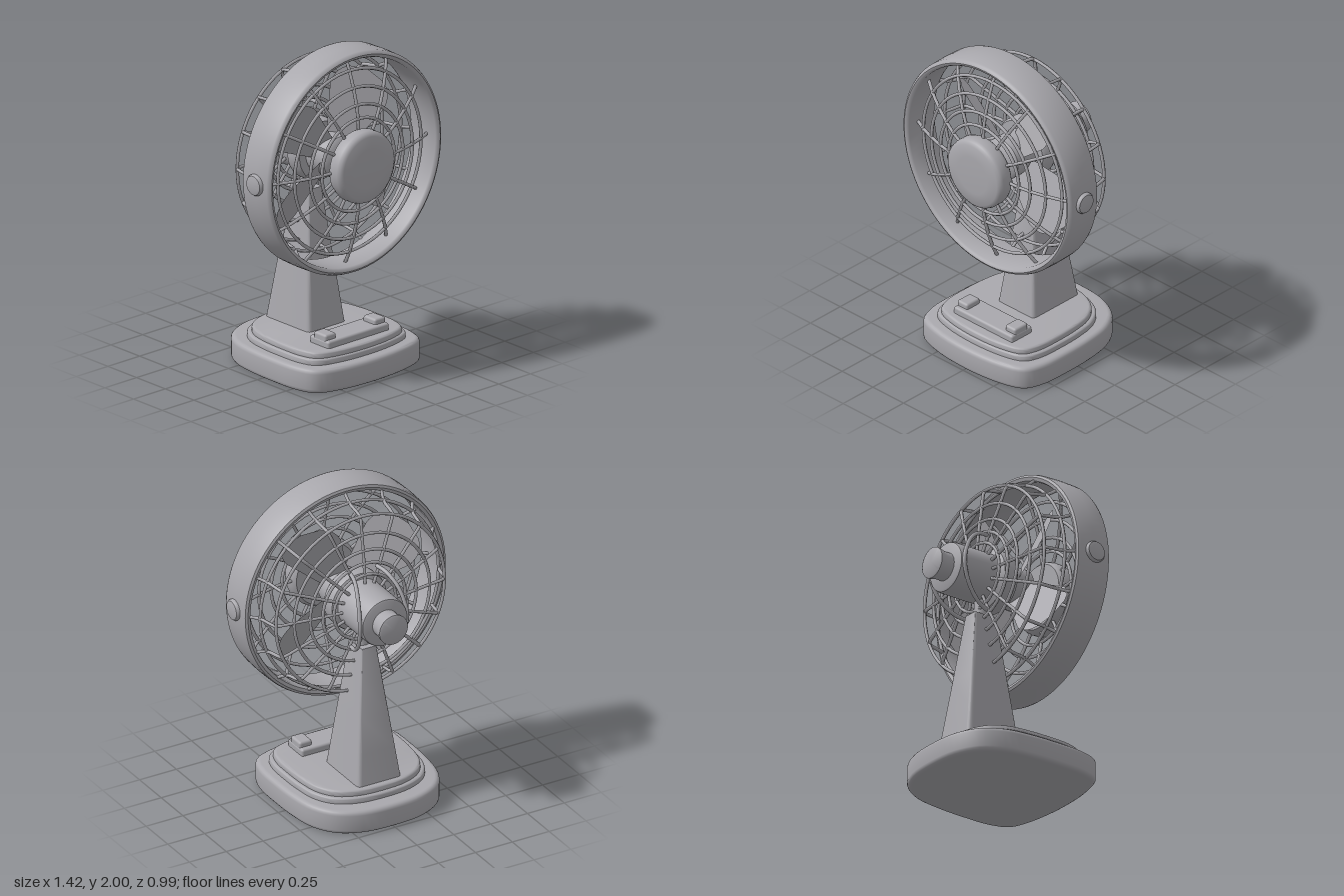
import * as THREE from 'three';
import { toCreasedNormals } from 'three/addons/utils/BufferGeometryUtils.js';
import { RoundedBoxGeometry } from 'three/addons/geometries/RoundedBoxGeometry.js';

const AXIS_Y = 1.312; // height of the fan's axis
const V3 = (x, y, z) => new THREE.Vector3(x, y, z);

export function createModel() {
  const grey = new THREE.MeshStandardMaterial({ color: 0xa9a8ad });
  const thinGrey = new THREE.MeshStandardMaterial({ color: 0xa9a8ad, side: THREE.DoubleSide });
  const model = new THREE.Group();
  model.name = 'deskFan';

  function add(parent, name, geometry, material = grey) {
    const mesh = new THREE.Mesh(geometry, material);
    mesh.name = name;
    parent.add(mesh);
    return mesh;
  }

  // Solid of revolution about z, from [radius, z] pairs running back to front
  function turned(profile, segments = 64) {
    const g = new THREE.LatheGeometry(profile.map(([r, z]) => new THREE.Vector2(r, z)), segments);
    return toCreasedNormals(g.rotateX(Math.PI / 2), 0.7);
  }

  // Upright slab with a soft edge, from an outline in x and -z
  function slab(points, y0, y1, bevel) {
    const g = new THREE.ExtrudeGeometry(new THREE.Shape(points), {
      depth: y1 - y0 - 2 * bevel, bevelEnabled: true, bevelSize: bevel,
      bevelThickness: bevel, bevelOffset: -bevel, bevelSegments: 4,
    });
    g.translate(0, 0, bevel).rotateX(-Math.PI / 2).translate(0, y0, 0);
    return toCreasedNormals(g, 0.7);
  }

  // ---- Base: two stacked tiers, rounder at the back
  const half = [[0.2, -0.475], [0.345, -0.4], [0.43, -0.27], [0.462, -0.1], [0.47, 0.1],
    [0.46, 0.29], [0.41, 0.41], [0.27, 0.467]];
  const outline = [[0, -0.495], ...half, [0, 0.493], ...half.map(([x, z]) => [-x, z]).reverse()];
  const baseCurve = new THREE.CatmullRomCurve3(outline.map(([x, z]) => V3(x, -z, 0)), true);
  const tier = (sx, sz, dz) => baseCurve.getPoints(72).slice(0, -1)
    .map((p) => new THREE.Vector2(p.x * sx, p.y * sz - dz));
  const base = new THREE.Group();
  base.name = 'base';
  model.add(base);
  add(base, 'baseFoot', slab(tier(1, 1, 0), 0.0, 0.15, 0.028));
  add(base, 'baseStep', slab(tier(0.86, 0.82, 0.015), 0.13, 0.185, 0.015));
  add(base, 'baseTop', slab(tier(0.81, 0.78, 0.02), 0.16, 0.22, 0.018));

  // ---- Control panel with a raised switch at each end
  add(base, 'controlPanel', new RoundedBoxGeometry(0.48, 0.06, 0.17, 3, 0.015))
    .position.set(0, 0.232, 0.25);
  for (const side of [-1, 1]) {
    add(base, side > 0 ? 'leftSwitch' : 'rightSwitch', new RoundedBoxGeometry(0.085, 0.06, 0.11, 3, 0.015))
      .position.set(side * 0.195, 0.265, 0.252);
  }

  // ---- Stand: rounded rectangle tapering upwards
  const c = 0.82;
  const section = new THREE.Shape();
  section.moveTo(-c, -1).lineTo(c, -1).quadraticCurveTo(1, -1, 1, -c).lineTo(1, c)
    .quadraticCurveTo(1, 1, c, 1).lineTo(-c, 1).quadraticCurveTo(-1, 1, -1, c)
    .lineTo(-1, -c).quadraticCurveTo(-1, -1, -c, -1);
  const stand = new THREE.ExtrudeGeometry(section, { depth: 1, steps: 4, bevelEnabled: false, curveSegments: 5 });
  const sp = stand.attributes.position;
  for (let i = 0; i < sp.count; i++) {
    const t = sp.getZ(i);
    sp.setXYZ(i,
      sp.getX(i) * THREE.MathUtils.lerp(0.15, 0.05, t),
      THREE.MathUtils.lerp(0.2, 1.06, t),
      -sp.getY(i) * THREE.MathUtils.lerp(0.195, 0.078, t) - THREE.MathUtils.lerp(0.133, 0.123, t));
  }
  stand.computeVertexNormals();
  add(model, 'stand', toCreasedNormals(stand, 0.6));
  add(model, 'neck', new THREE.CylinderGeometry(0.04, 0.045, 0.16, 24)).position.set(0, 1.11, -0.12);

  // ---- Head: everything turned about the fan's axis
  const head = new THREE.Group();
  head.name = 'head';
  head.position.y = AXIS_Y;
  model.add(head);

  add(head, 'outerRing', turned([
    [0.645, 0.075], [0.665, 0.068], [0.68, 0.075], [0.685, 0.09], [0.688, 0.19], [0.685, 0.285],
    [0.678, 0.3], [0.665, 0.308], [0.65, 0.303], [0.642, 0.29], [0.64, 0.19], [0.64, 0.09], [0.645, 0.075],
  ], 96));
  add(head, 'frontCap', turned([
    [0, 0.3], [0.2, 0.3], [0.215, 0.315], [0.222, 0.335], [0.222, 0.385], [0.215, 0.405],
    [0.195, 0.418], [0.12, 0.422], [0, 0.424],
  ]));
  add(head, 'motorHousing', turned([
    [0, -0.385], [0.14, -0.385], [0.15, -0.38], [0.155, -0.365], [0.155, -0.1], [0.185, -0.085],
    [0.19, -0.07], [0.19, 0.0], [0.18, 0.015], [0, 0.015],
  ]));
  add(head, 'rearKnob', turned([
    [0, -0.488], [0.085, -0.488], [0.096, -0.482], [0.094, -0.46], [0.086, -0.43], [0.086, -0.38], [0, -0.38],
  ], 48));
  add(head, 'bladeHub', turned([[0, 0.01], [0.13, 0.01], [0.13, 0.17], [0.11, 0.19], [0.05, 0.2], [0.05, 0.31], [0, 0.31]], 40));

  // Pivot buttons on both sides of the ring
  for (const side of [-1, 1]) {
    const button = add(head, side > 0 ? 'leftPivotButton' : 'rightPivotButton', turned([
      [0, -0.03], [0.066, -0.03], [0.066, 0.012], [0.058, 0.024], [0.04, 0.029], [0, 0.03],
    ], 32));
    button.position.set(side * 0.682, 0.008, 0.19);
    button.rotation.y = side * Math.PI / 2;
  }

  // ---- Blades: pitched paddles with round tips
  const blade = new THREE.PlaneGeometry(2, 1, 10, 18);
  const bp = blade.attributes.position;
  for (let i = 0; i < bp.count; i++) {
    const s = bp.getX(i);
    const t = bp.getY(i) + 0.5;
    const tip = Math.max(0, (t - 0.6) / 0.4);
    const halfWidth = (0.075 + 0.085 * Math.min(1, t * 1.6)) * Math.sqrt(Math.max(0, 1 - tip ** 3));
    bp.setXYZ(i, s * halfWidth, 0.1 + 0.44 * t, 0.1 + 0.09 * s * (halfWidth / 0.16) - 0.02 * t);
  }
  blade.computeVertexNormals();
  [56, 143, 218, 326].forEach((deg, i) => {
    add(head, `blade${i + 1}`, blade, thinGrey).rotation.z = THREE.MathUtils.degToRad(deg - 90);
  });

  // ---- Wire grilles: hoops and radial spokes
  function grille(name, hoops, spokePath, count) {
    const group = new THREE.Group();
    group.name = name;
    head.add(group);
    hoops.forEach(([r, z]) => {
      add(group, 'hoop', new THREE.TorusGeometry(r, 0.0105, 6, 72)).position.z = z;
    });
    const path = new THREE.CatmullRomCurve3(spokePath.map(([r, z]) => V3(0, r, z)), false, 'centripetal');
    const spoke = new THREE.TubeGeometry(path, 20, 0.0105, 6);
    for (let i = 0; i < count; i++) {
      add(group, 'spoke', spoke).rotation.z = (i / count) * Math.PI * 2;
    }
  }
  grille('frontGrille',
    [[0.285, 0.325], [0.365, 0.312], [0.465, 0.285], [0.565, 0.25]],
    [[0.2, 0.33], [0.285, 0.325], [0.365, 0.312], [0.465, 0.285], [0.565, 0.25], [0.65, 0.21]], 12);
  grille('rearGrille',
    [[0.21, -0.15], [0.28, -0.14], [0.36, -0.13], [0.46, -0.115], [0.572, -0.095], [0.605, 0.03]],
    [[0.15, -0.153], [0.28, -0.14], [0.46, -0.115], [0.555, -0.102], [0.575, -0.09], [0.605, 0.03], [0.65, 0.085]], 16);

  // ---- Two wire bows curving round the motor
  for (const side of [-1, 1]) {
    const bow = new THREE.CatmullRomCurve3([
      [0.09, 0.24, -0.13], [0.11, 0.225, -0.22], [0.14, 0.15, -0.31], [0.16, 0.0, -0.365],
      [0.145, -0.13, -0.325], [0.115, -0.22, -0.23], [0.09, -0.25, -0.13],
    ].map(([x, y, z]) => V3(side * x, y, z)));
    add(head, side > 0 ? 'leftBow' : 'rightBow', new THREE.TubeGeometry(bow, 40, 0.0125, 8));
  }

  return model;
}
